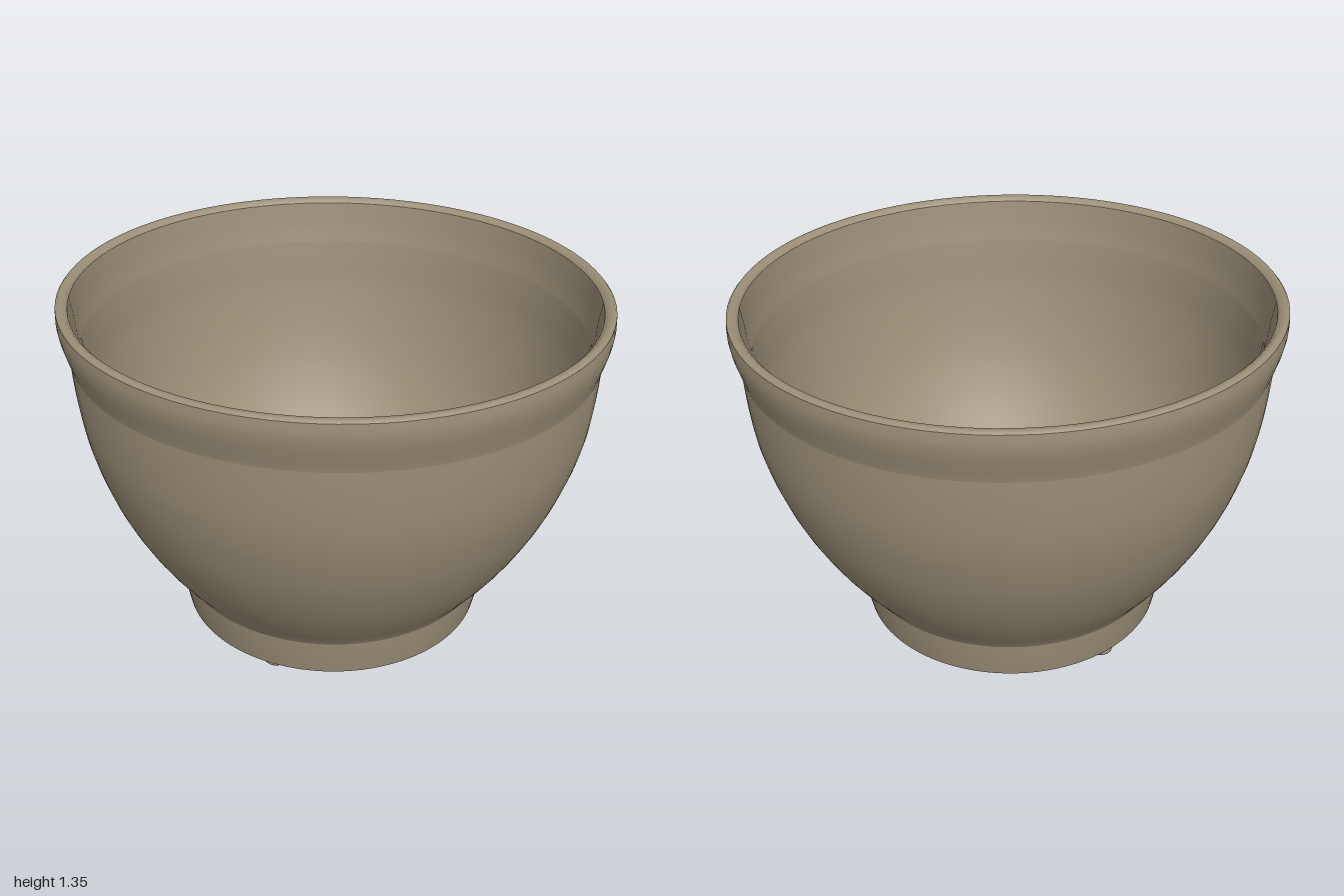
import * as THREE from 'three';

const clay = new THREE.MeshStandardMaterial({ color: 0x9c9078 });
clay.name = 'tan clay';

// Hand-made irregularity: base and hole sit slightly off centre, whole pot leans a little
function warp(geometry) {
  const p = geometry.attributes.position;
  for (let i = 0; i < p.count; i++) {
    const x = p.getX(i), y = p.getY(i), z = p.getZ(i);
    const low = Math.max(0, 1 - y / 0.9);
    const hole = Math.max(0, 1 - Math.hypot(x, z) / 0.25);
    p.setXYZ(i, x - 0.015 * low, y - 0.009 * (x + z), z - 0.013 * low - 0.02 * hole);
  }
  return geometry;
}

// Lathed part; smooth profiles are run through a spline
function turned(name, points, smooth = false) {
  let profile = points.map(([r, y]) => new THREE.Vector2(r, y));
  if (smooth) profile = new THREE.SplineCurve(profile).getPoints(points.length * 4);
  const mesh = new THREE.Mesh(warp(new THREE.LatheGeometry(profile, 96)), clay);
  mesh.name = name;
  return mesh;
}

export function createModel() {
  const pot = new THREE.Group();
  pot.name = 'flowerPot';

  pot.add(
    // Underside, from the drain hole out to the foot
    turned('baseUnderside', [[0.045, 0.18], [0.2, 0.18], [0.395, 0.18]]),
    turned('footInside', [[0.395, 0.18], [0.43, 0.16], [0.465, 0.075], [0.49, 0.042]]),
    turned('footBottom', [[0.49, 0.042], [0.51, 0.036], [0.565, 0.036], [0.582, 0.046]]),
    turned('footOutside', [[0.582, 0.046], [0.597, 0.12], [0.607, 0.195]]),
    // Outer wall and rim
    turned('bodyOutside', [[0.607, 0.195], [0.63, 0.23], [0.69, 0.31], [0.75, 0.4], [0.806, 0.5], [0.853, 0.6],
      [0.89, 0.7], [0.92, 0.8], [0.941, 0.9], [0.953, 1.0], [0.959, 1.08], [0.962, 1.145]], true),
    turned('rimBand', [[0.962, 1.145], [0.967, 1.165], [0.98, 1.21], [0.99, 1.25], [0.995, 1.29], [0.993, 1.33]], true),
    turned('rimTop', [[0.993, 1.33], [0.985, 1.339], [0.965, 1.337], [0.952, 1.322]]),
    // Inner wall
    turned('rimInside', [[0.952, 1.322], [0.946, 1.28], [0.937, 1.22], [0.925, 1.16]], true),
    turned('bodyInside', [[0.925, 1.16], [0.915, 1.08], [0.903, 0.98], [0.88, 0.86], [0.85, 0.74], [0.81, 0.62],
      [0.755, 0.5], [0.69, 0.39], [0.62, 0.29], [0.572, 0.235]], true),
    // Floor: groove around a raised centre
    turned('floorGroove', [[0.572, 0.235], [0.555, 0.19], [0.535, 0.178], [0.475, 0.17]]),
    turned('floorStep', [[0.475, 0.17], [0.445, 0.195], [0.415, 0.235], [0.395, 0.245]]),
    turned('floorCentre', [[0.395, 0.245], [0.2, 0.247], [0.045, 0.247]]),
    turned('drainHole', [[0.045, 0.247], [0.045, 0.18]])
  );

  // Three small nubs under the foot
  [[-0.455, 0.27, 0.036], [0.46, 0.23, 0.027], [-0.05, -0.545, 0.04]].forEach(([x, z, y]) => {
    const nub = new THREE.Mesh(new THREE.SphereGeometry(0.05, 16, 10), clay);
    nub.scale.y = 0.5;
    nub.position.set(x, y, z);
    nub.name = 'footNub';
    pot.add(nub);
  });

  return pot;
}
